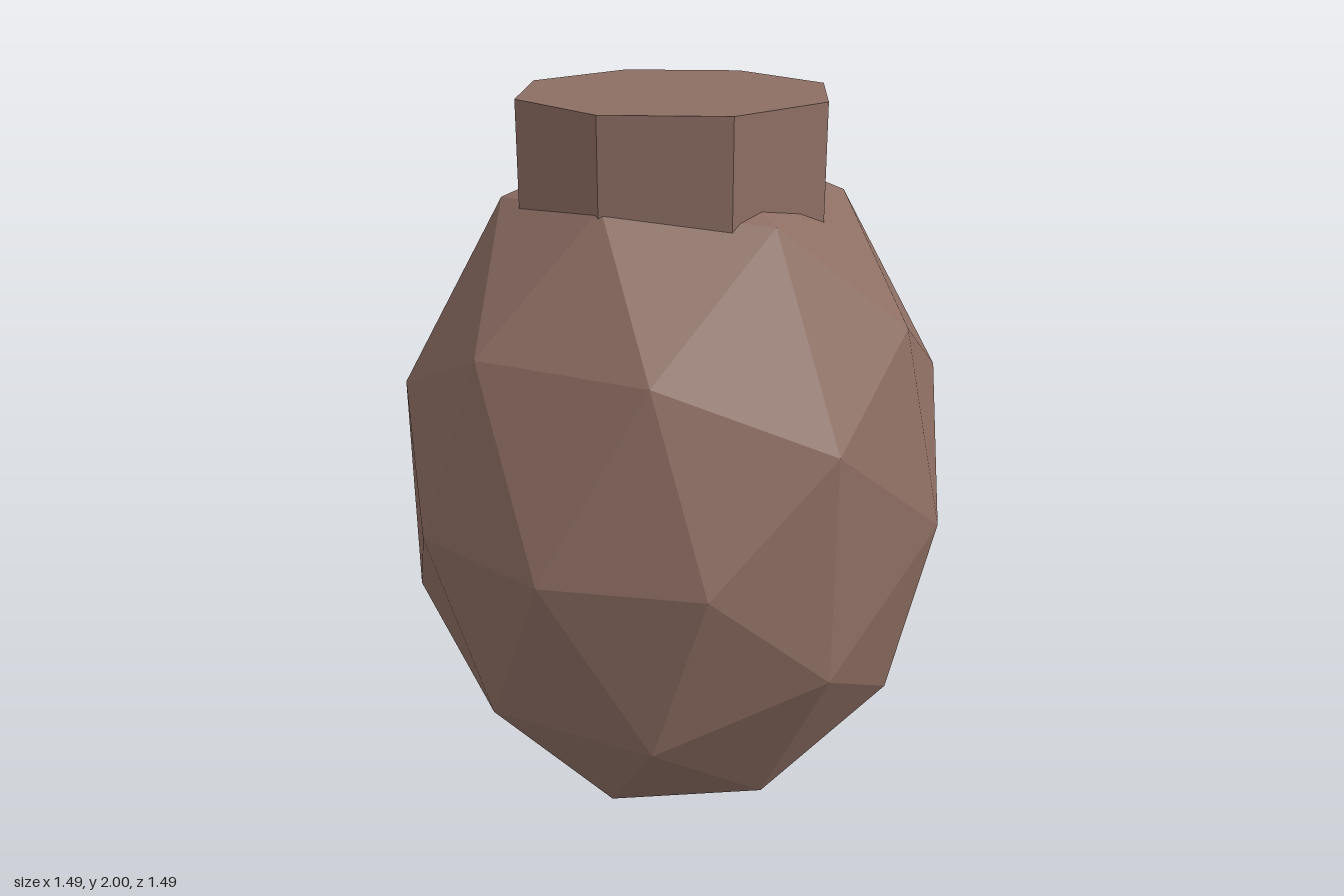
import * as THREE from 'three';

export function createModel() {
  const model = new THREE.Group();
  model.name = 'facetedJar';
  const clay = new THREE.MeshStandardMaterial({ color: 0x8d6e63 });
  clay.name = 'clay brown';
  clay.flatShading = true;

  const radius = 0.745;
  const halfHeight = 0.965;

  // Faceted egg-shaped body, stretched upwards
  const bodyGeometry = new THREE.IcosahedronGeometry(1, 1);
  bodyGeometry.rotateY(Math.PI / 2);
  bodyGeometry.scale(radius, halfHeight, radius);
  bodyGeometry.computeVertexNormals();
  const body = new THREE.Mesh(bodyGeometry, clay);
  body.name = 'body';
  body.position.y = halfHeight;
  model.add(body);

  // Eight-sided neck sunk into the top of the body
  const neckHeight = 0.4;
  const neck = new THREE.Mesh(new THREE.CylinderGeometry(0.405, 0.405, neckHeight, 8), clay);
  neck.name = 'neck';
  neck.position.y = 2 - neckHeight / 2;
  model.add(neck);

  return model;
}
